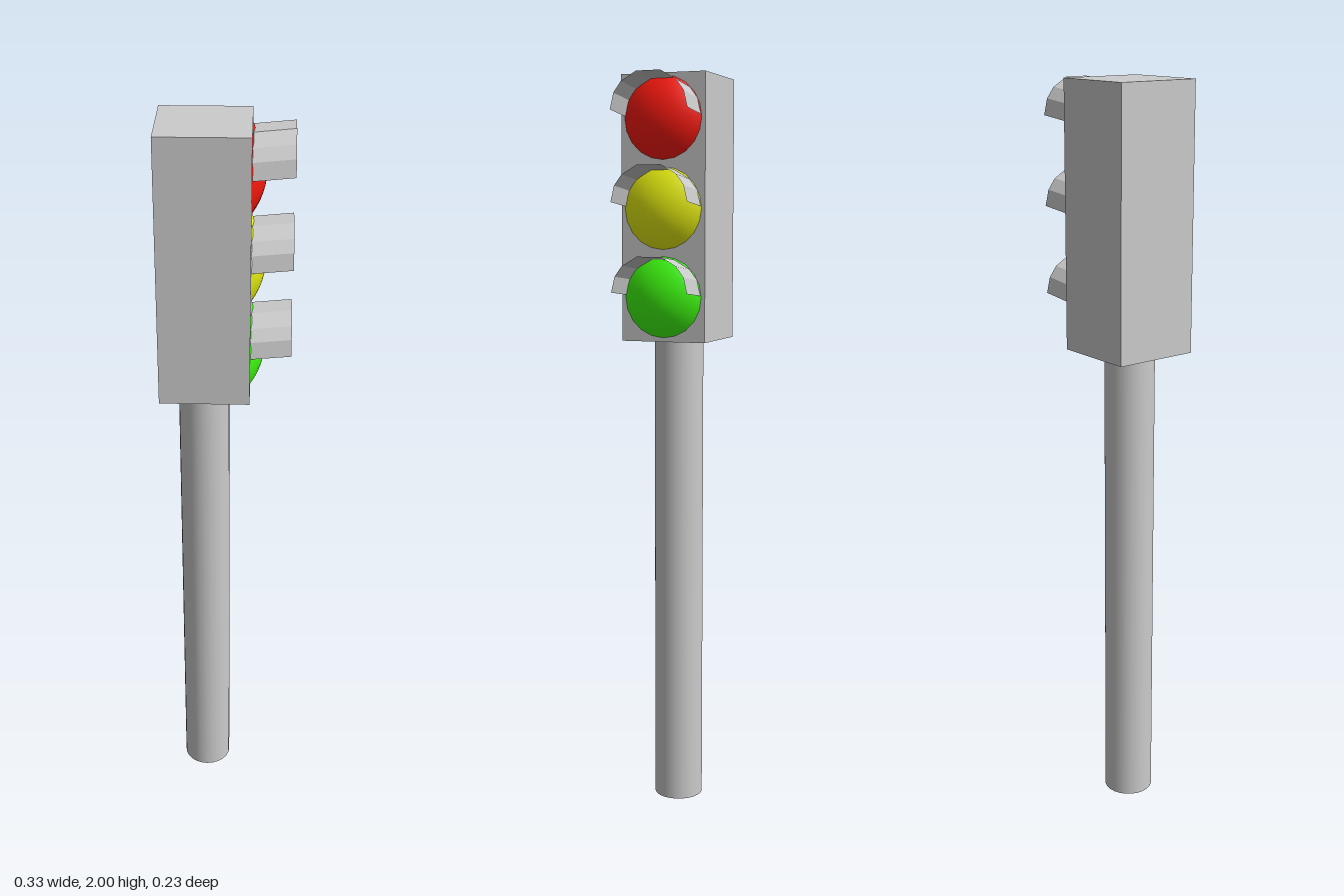
import * as THREE from 'three';

const grey = new THREE.MeshStandardMaterial({ color: 0xcccccc });
const visorGrey = new THREE.MeshStandardMaterial({ color: 0xcccccc, flatShading: true, side: THREE.DoubleSide });

const FACE_X = 0.064;
const LENS_R = 0.107;
const LENS_H = 0.036;

function addMesh(parent, name, geometry, material, x, y, z) {
  const mesh = new THREE.Mesh(geometry, material);
  mesh.name = name;
  mesh.position.set(x, y, z);
  parent.add(mesh);
  return mesh;
}

// Shallow spherical cap bulging towards +x
function lensGeometry() {
  const R = (LENS_R ** 2 + LENS_H ** 2) / (2 * LENS_H);
  const cap = new THREE.SphereGeometry(R, 20, 6, 0, Math.PI * 2, 0, Math.asin(LENS_R / R));
  cap.translate(0, LENS_H - R, 0);
  cap.rotateZ(-Math.PI / 2);
  return cap;
}

// Half-round hood of seven flat strips, rising slightly towards its open end
function visorGeometry() {
  const angles = [-90, -65, -45, -18, 18, 45, 65, 90];
  const length = 0.103, rise = 0.01, radius = 0.105;
  const positions = [], index = [];
  angles.forEach((deg, i) => {
    const a = THREE.MathUtils.degToRad(deg);
    const y = 0.098 * Math.cos(a), z = radius * Math.sin(a);
    positions.push(0, y, z, length, y + rise, z);
    if (i > 0) {
      const k = 2 * i;
      index.push(k - 2, k, k - 1, k, k + 1, k - 1);
    }
  });
  const g = new THREE.BufferGeometry();
  g.setAttribute('position', new THREE.Float32BufferAttribute(positions, 3));
  g.setIndex(index);
  g.computeVertexNormals();
  return g;
}

export function createModel() {
  const model = new THREE.Group();
  model.name = 'trafficLight';

  // Pole and signal box
  addMesh(model, 'pole', new THREE.CylinderGeometry(0.067, 0.067, 1.305, 24), grey, -0.056, 0.6525, 0);
  addMesh(model, 'signalBox', new THREE.BoxGeometry(0.231, 0.695, 0.234), grey, -0.0515, 1.6525, 0);

  // Three lamps, each a coloured lens under a visor
  const lens = lensGeometry();
  const visor = visorGeometry();
  const lamps = [['red', 0xff1a10, 1.887], ['yellow', 0xe8f010, 1.655], ['green', 0x40ff10, 1.423]];
  for (const [name, color, y] of lamps) {
    const lamp = new THREE.Group();
    lamp.name = name + 'Lamp';
    lamp.position.set(FACE_X, y, 0);
    addMesh(lamp, name + 'Lens', lens, new THREE.MeshStandardMaterial({ color }), 0, 0, 0);
    addMesh(lamp, name + 'Visor', visor, visorGrey, 0, 0.005, 0);
    model.add(lamp);
  }
  return model;
}
